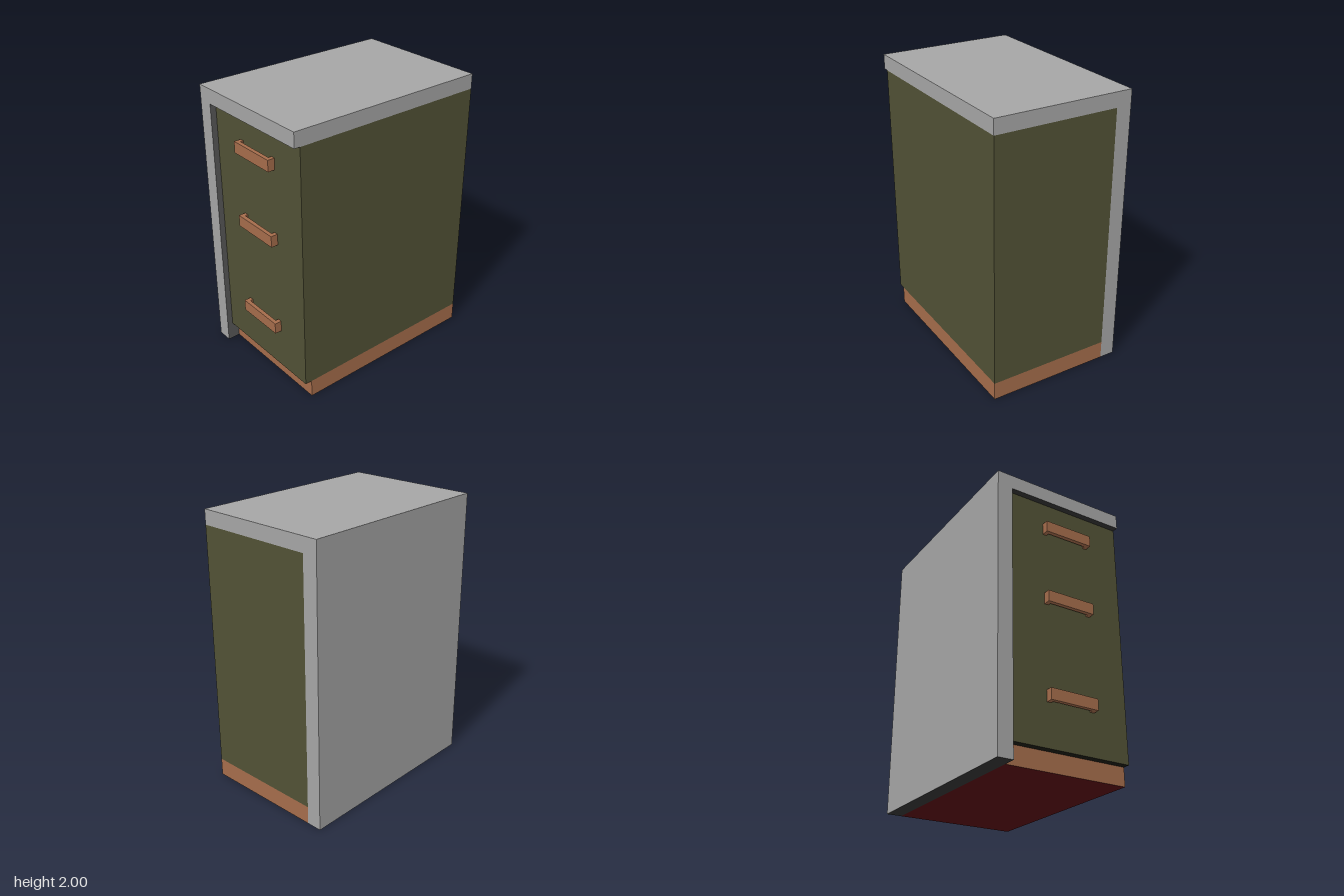
import * as THREE from 'three';

const material = (name, color) => {
  const m = new THREE.MeshStandardMaterial({ color });
  m.name = name;
  return m;
};

export function createModel() {
  const grey = material('grey shell', 0xa5a5a5);
  const reveal = material('dark grey inner side', 0x585858);
  const charcoal = material('charcoal underside', 0x353535);
  const olive = material('olive body', 0x515135);
  const darkOlive = material('dark olive underside', 0x1c1c14);
  const brown = material('brown wood', 0xa46c4b);
  const maroon = material('maroon underside', 0x5a0d14);
  const model = new THREE.Group();
  model.name = 'drawerCabinet';

  // Box given by its corners; the underside and the +x side may differ in colour
  const box = (name, mat, [x0, y0, z0], [x1, y1, z1], { parent = model, under = mat, side = mat } = {}) => {
    const mesh = new THREE.Mesh(
      new THREE.BoxGeometry(x1 - x0, y1 - y0, z1 - z0), [side, mat, mat, under, mat, mat]);
    mesh.position.set((x0 + x1) / 2, (y0 + y1) / 2, (z0 + z1) / 2);
    mesh.name = name;
    parent.add(mesh);
  };

  // Worktop and side panel
  box('worktop', grey, [-0.5, 1.895, -0.75], [0.5, 2, 0.742], { under: charcoal });
  box('sidePanel', grey, [-0.5, 0, -0.75], [-0.39, 1.895, 0.742], { under: charcoal, side: reveal });

  // Drawer body and recessed plinth
  box('drawerBody', olive, [-0.39, 0.13, -0.75], [0.5, 1.895, 0.7], { under: darkOlive });
  box('plinth', brown, [-0.39, 0, -0.75], [0.5, 0.13, 0.65], { under: maroon });

  // Bar handles, each on two end posts
  [0.47, 1.155, 1.69].forEach((y) => {
    const handle = new THREE.Group();
    handle.name = 'drawerHandle';
    handle.position.y = y;
    model.add(handle);
    box('handleBar', brown, [-0.12, -0.04, 0.722], [0.24, 0.04, 0.75], { parent: handle });
    for (const x of [-0.12, 0.21]) {
      box('handlePost', brown, [x, -0.04, 0.7], [x + 0.03, 0.04, 0.722], { parent: handle });
    }
  });

  return model;
}
